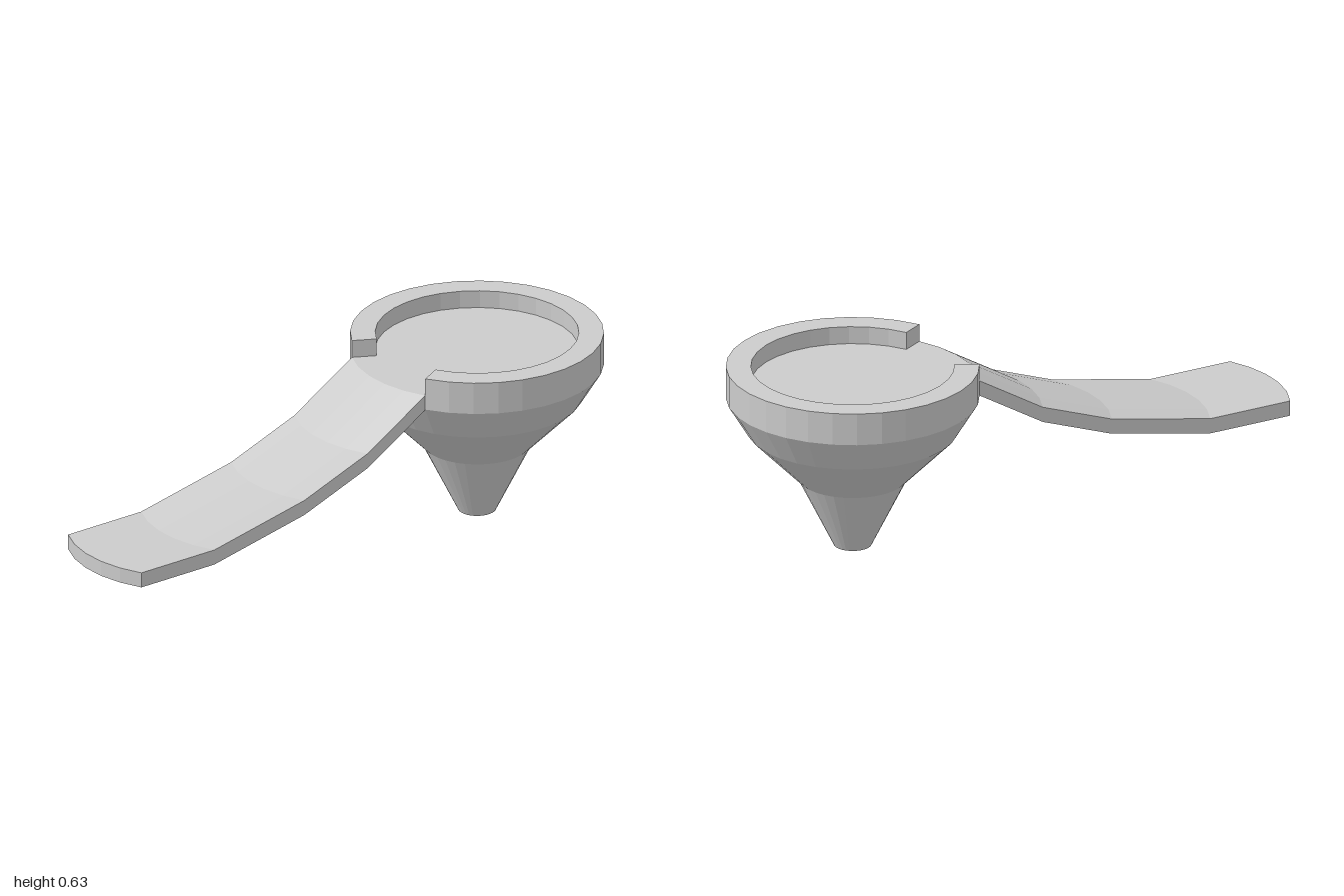
import * as THREE from 'three';

const SIDES = 32, STEP = (2 * Math.PI) / SIDES;
const CX = 0.585, R = 0.415, R_IN = 0.333;
const FLOOR = 0.57, LEDGE = 0.52, TOP = 0.63;
const GAP_START = -2, GAP_END = 3; // opening in the rim, in steps from -x towards +z

// point on a circle around the bowl axis, step 0 facing -x
const ring = (r, k) => [-r * Math.cos(k * STEP), r * Math.sin(k * STEP)];

// solid funnel-shaped bowl, closed by the flat dish floor
function bowlGeometry() {
  const profile = [[0, 0], [0.062, 0], [0.178, 0.235], [0.345, 0.405], [R, LEDGE], [R, FLOOR], [0, FLOOR]];
  return new THREE.LatheGeometry(profile.map(([x, y]) => new THREE.Vector2(x, y)), SIDES);
}

// raised rim, open where the chute leaves
function rimGeometry() {
  const pts = [];
  const add = (r, k) => { const [x, z] = ring(r, k); pts.push(new THREE.Vector2(x, -z)); };
  const last = GAP_START + SIDES;
  for (let k = GAP_END; k <= last; k++) add(R, k);
  for (let k = last; k >= GAP_END; k--) add(R_IN, k);
  const geo = new THREE.ExtrudeGeometry(new THREE.Shape(pts), { depth: TOP - FLOOR, bevelEnabled: false });
  return geo.rotateX(-Math.PI / 2).translate(0, FLOOR, 0);
}

// chute: the bowl's outline arc moved outwards and down through a few stations
function chuteGeometry() {
  const stations = [[0, 0.57], [0.239, 0.427], [0.5, 0.331], [0.872, 0.255], [1.174, 0.255]];
  const thick = FLOOR - LEDGE + 0.002;
  const [dx, dz] = ring(1, (GAP_START + GAP_END) / 2);
  const n = GAP_END - GAP_START + 1, loop = 2 * n;
  const pos = [], idx = [];
  const quad = (a, b, c, d) => idx.push(a, b, c, a, c, d);
  for (const [d, y] of stations) {
    for (let k = 0; k < loop; k++) {
      const top = k < n;
      const [x, z] = ring(R, GAP_START + (top ? k : loop - 1 - k));
      pos.push(x + d * dx, top ? y : y - thick, z + d * dz);
    }
  }
  for (let j = 0; j < stations.length - 1; j++) {
    for (let k = 0; k < loop; k++) {
      const a = j * loop, b = a + loop, m = (k + 1) % loop;
      quad(a + k, b + k, b + m, a + m);
    }
  }
  // outer end face
  const e = (stations.length - 1) * loop;
  for (let i = 0; i < n - 1; i++) quad(e + loop - 1 - i, e + loop - 2 - i, e + i + 1, e + i);
  const indexed = new THREE.BufferGeometry();
  indexed.setAttribute('position', new THREE.Float32BufferAttribute(pos, 3));
  indexed.setIndex(idx);
  const geo = indexed.toNonIndexed();
  geo.computeVertexNormals();
  return geo;
}

export function createModel() {
  const model = new THREE.Group();
  model.name = 'funnelBowlWithChute';
  const material = new THREE.MeshStandardMaterial({ color: 0xcccccc, flatShading: true });
  const parts = { bowl: bowlGeometry(), rim: rimGeometry(), chute: chuteGeometry() };
  for (const [name, geometry] of Object.entries(parts)) {
    const mesh = new THREE.Mesh(geometry, material);
    mesh.name = name;
    mesh.position.x = CX;
    model.add(mesh);
  }
  return model;
}
